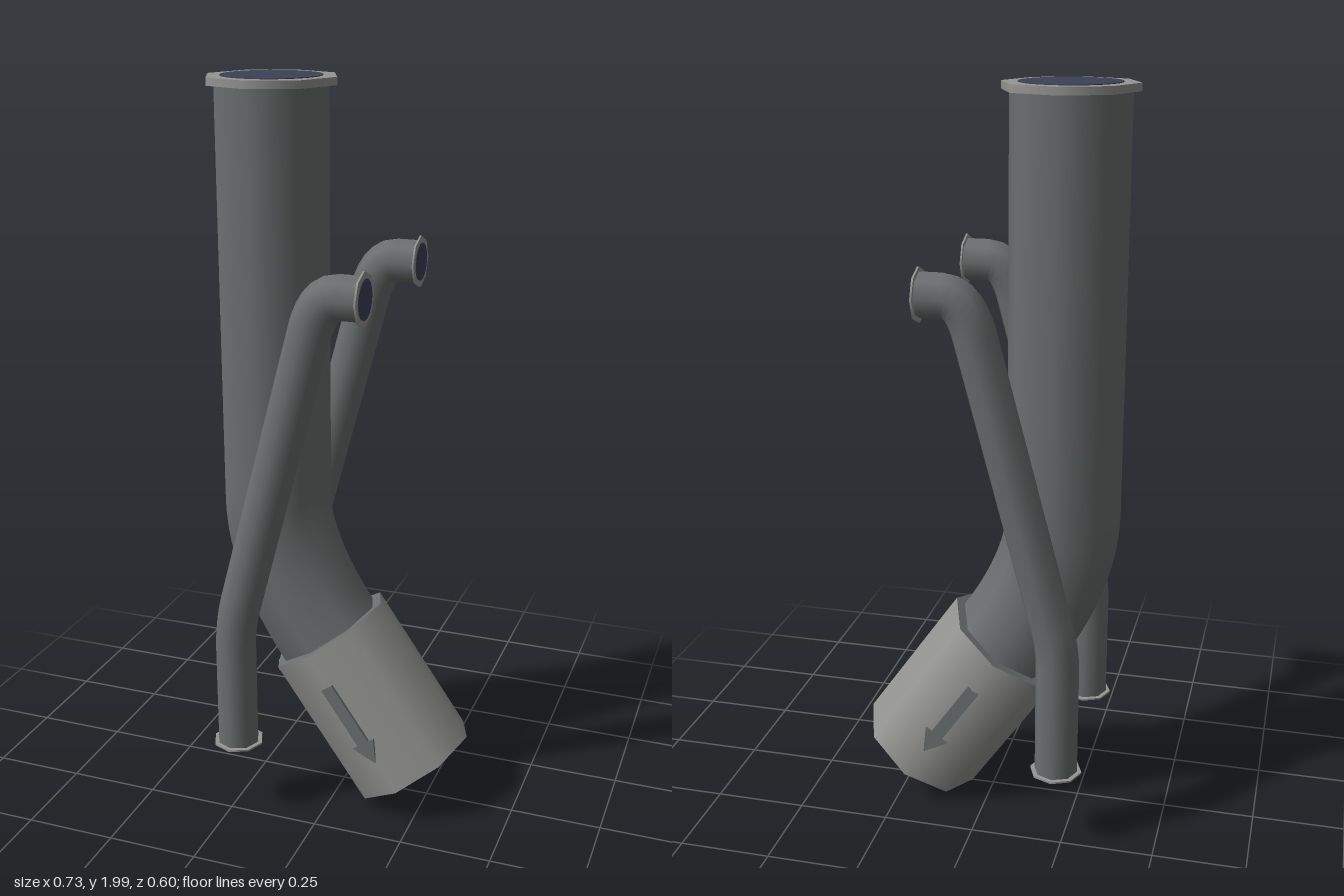
import * as THREE from 'three';

const steel = new THREE.MeshStandardMaterial({ color: 0x6c7070 });
steel.name = 'dark steel';
const light = new THREE.MeshStandardMaterial({ color: 0x969694 });
light.name = 'light steel';
const bore = new THREE.MeshStandardMaterial({ color: 0x3c4255 });
bore.name = 'dark bore';

const V = (x, y, z = 0) => new THREE.Vector3(x, y, z);
const UP = V(0, 1);

function add(parent, name, geometry, material) {
  const mesh = new THREE.Mesh(geometry, material);
  mesh.name = name;
  parent.add(mesh);
  return mesh;
}

// Cylinder whose outer face sits at end and looks along dir
function plug(parent, name, end, dir, radius, depth, sides, material) {
  const mesh = add(parent, name, new THREE.CylinderGeometry(radius, radius, depth, sides), material);
  mesh.quaternion.setFromUnitVectors(UP, dir);
  mesh.position.copy(end).addScaledVector(dir, -depth / 2);
  return mesh;
}

// Flange plate with a dark round opening
function flange(parent, name, end, dir, radius, depth, boreRadius) {
  plug(parent, name, end, dir, radius, depth, 8, light);
  plug(parent, name + 'Bore', end.clone().addScaledVector(dir, 0.002), dir, boreRadius, 0.004, 28, bore);
}

// Eight-sided pipe along joined straight and curved runs
function pipe(parent, name, runs, radius, segments) {
  const path = new THREE.CurvePath();
  for (const run of runs) {
    path.add(run.length === 2 ? new THREE.LineCurve3(...run) : new THREE.QuadraticBezierCurve3(...run));
  }
  return add(parent, name, new THREE.TubeGeometry(path, segments, radius, 8), steel);
}

function createModel() {
  const model = new THREE.Group();
  model.name = 'pipeAssembly';

  // Main pipe with its lower bend
  const collarTop = V(-0.045, 0.484);
  const collarEnd = V(0.213, 0.113);
  pipe(model, 'mainPipe', [
    [V(-0.195, 1.985), V(-0.195, 0.89)],
    [V(-0.195, 0.89), V(-0.195, 0.70), collarTop],
  ], 0.155, 60);
  flange(model, 'topFlange', V(-0.195, 1.998), UP, 0.175, 0.02, 0.13);

  // Tilted collar with dark end rings
  const axis = collarEnd.clone().sub(collarTop);
  const length = axis.length();
  axis.normalize();
  plug(model, 'collar', collarEnd, axis, 0.183, length, 8, [light, steel, steel]);
  plug(model, 'collarBore', collarEnd.clone().addScaledVector(axis, 0.002), axis, 0.14, 0.004, 28, bore);

  // Flow arrows on both sides of the collar
  const arrow = new THREE.Shape([
    [-0.125, -0.018], [0.06, -0.018], [0.06, -0.036], [0.125, 0],
    [0.06, 0.036], [0.06, 0.018], [-0.125, 0.018],
  ].map(([x, y]) => new THREE.Vector2(x, y)));
  const arrowGeometry = new THREE.ExtrudeGeometry(arrow, { depth: 0.008, bevelEnabled: false });
  arrowGeometry.translate(0, 0, -0.004);
  for (const side of [1, -1]) {
    const mesh = add(model, side > 0 ? 'frontArrow' : 'backArrow', arrowGeometry, steel);
    mesh.position.copy(collarTop).add(collarEnd).multiplyScalar(0.5);
    mesh.position.z = side * 0.18;
    mesh.rotation.z = Math.atan2(axis.y, axis.x);
  }

  // Slim bent pipes in front and behind
  for (const side of [1, -1]) {
    const slim = new THREE.Group();
    slim.name = side > 0 ? 'frontSlimPipe' : 'backSlimPipe';
    slim.position.z = side * 0.232;
    pipe(slim, 'slimPipe', [
      [V(-0.23, 0.222), V(-0.23, 0.52)],
      [V(-0.23, 0.52), V(-0.23, 0.58), V(-0.214, 0.64)],
      [V(-0.214, 0.64), V(-0.012, 1.40)],
      [V(-0.012, 1.40), V(0.014, 1.503), V(0.07, 1.503)],
      [V(0.07, 1.503), V(0.13, 1.503)],
    ], 0.058, 70);
    flange(slim, 'lowerFlange', V(-0.23, 0.22), V(0, -1), 0.07, 0.005, 0.051);
    flange(slim, 'upperFlange', V(0.134, 1.503), V(1, 0), 0.07, 0.005, 0.051);
    model.add(slim);
  }

  return model;
}

export { createModel };
